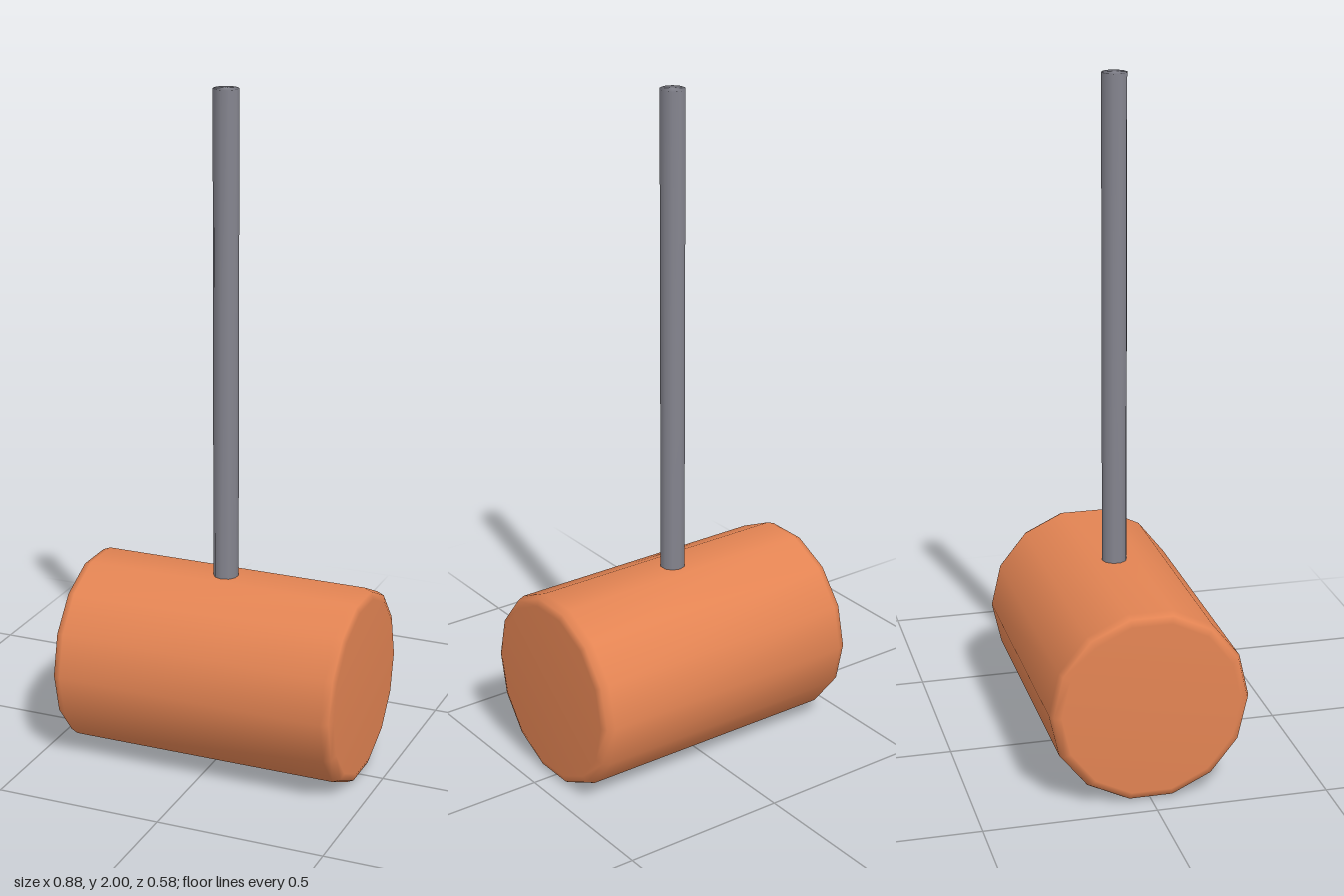
import * as THREE from 'three';
import { mergeVertices } from 'three/addons/utils/BufferGeometryUtils.js';

// Weld all corners so shading runs smoothly over every edge
function smooth(geometry) {
  geometry.deleteAttribute('uv');
  geometry.deleteAttribute('normal');
  const welded = mergeVertices(geometry, 1e-4);
  welded.computeVertexNormals();
  return welded;
}

export function createModel() {
  const model = new THREE.Group();
  model.name = 'mallet';

  const orange = new THREE.MeshStandardMaterial({ color: 0xe38453 });
  orange.name = 'orange';
  const grey = new THREE.MeshStandardMaterial({ color: 0x85858f });
  grey.name = 'grey';

  // Head: 14-sided drum along x with rounded rims
  const half = [[0.29, 0.408], [0.281, 0.43], [0.26, 0.438], [0, 0.438]];
  const profile = [
    ...half.map(([r, l]) => new THREE.Vector2(r, -l)).reverse(),
    ...half.map(([r, l]) => new THREE.Vector2(r, l)),
  ];
  const headGeometry = smooth(new THREE.LatheGeometry(profile, 14).rotateZ(Math.PI / 2));
  const head = new THREE.Mesh(headGeometry, orange);
  head.name = 'head';
  head.position.y = 0.283;
  model.add(head);

  // Handle: slim 10-sided rod set into the head
  const bottom = 0.48;
  const length = 2 - bottom;
  const handle = new THREE.Mesh(smooth(new THREE.CylinderGeometry(0.037, 0.037, length, 10)), grey);
  handle.name = 'handle';
  handle.position.y = bottom + length / 2;
  model.add(handle);

  return model;
}
